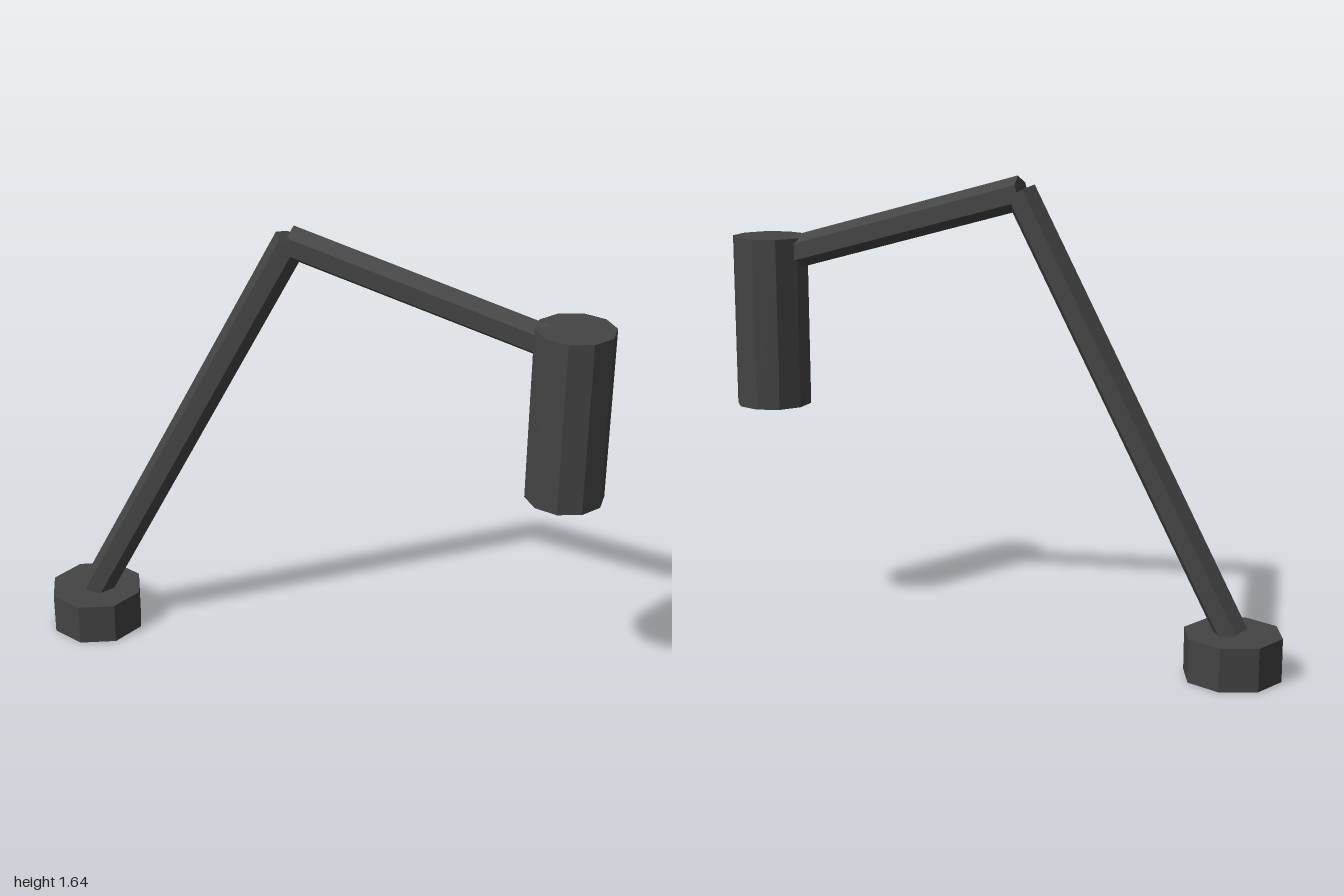
import * as THREE from 'three';

export function createModel() {
  const model = new THREE.Group();
  model.name = 'deskLamp';

  const darkGrey = new THREE.MeshStandardMaterial({ color: 0x444444, flatShading: true });
  darkGrey.name = 'darkGrey';

  function add(name, geometry) {
    const mesh = new THREE.Mesh(geometry, darkGrey);
    mesh.name = name;
    model.add(mesh);
    return mesh;
  }

  // Hexagonal rod between two points, with its ridges in the xy plane
  function rod(name, from, to) {
    const a = new THREE.Vector3(...from), b = new THREE.Vector3(...to);
    const r = 0.057;
    const mesh = add(name, new THREE.CylinderGeometry(r, r, a.distanceTo(b), 6, 1, false, Math.PI / 6));
    mesh.position.copy(a).add(b).multiplyScalar(0.5);
    mesh.rotation.z = -Math.atan2(b.x - a.x, b.y - a.y);
  }

  // Octagonal foot
  add('base', new THREE.CylinderGeometry(0.169, 0.169, 0.15, 8)).position.set(-0.831, 0.075, 0);

  // Two arms meeting at the elbow
  rod('lowerArm', [-0.828, 0.145, 0], [-0.068, 1.588, 0]);
  rod('upperArm', [-0.074, 1.587, 0], [0.874, 1.32, 0]);

  // Ten-sided lamp head
  add('lampHead', new THREE.CylinderGeometry(0.132, 0.132, 0.6, 10)).position.set(0.8745, 1.1, 0);

  return model;
}
